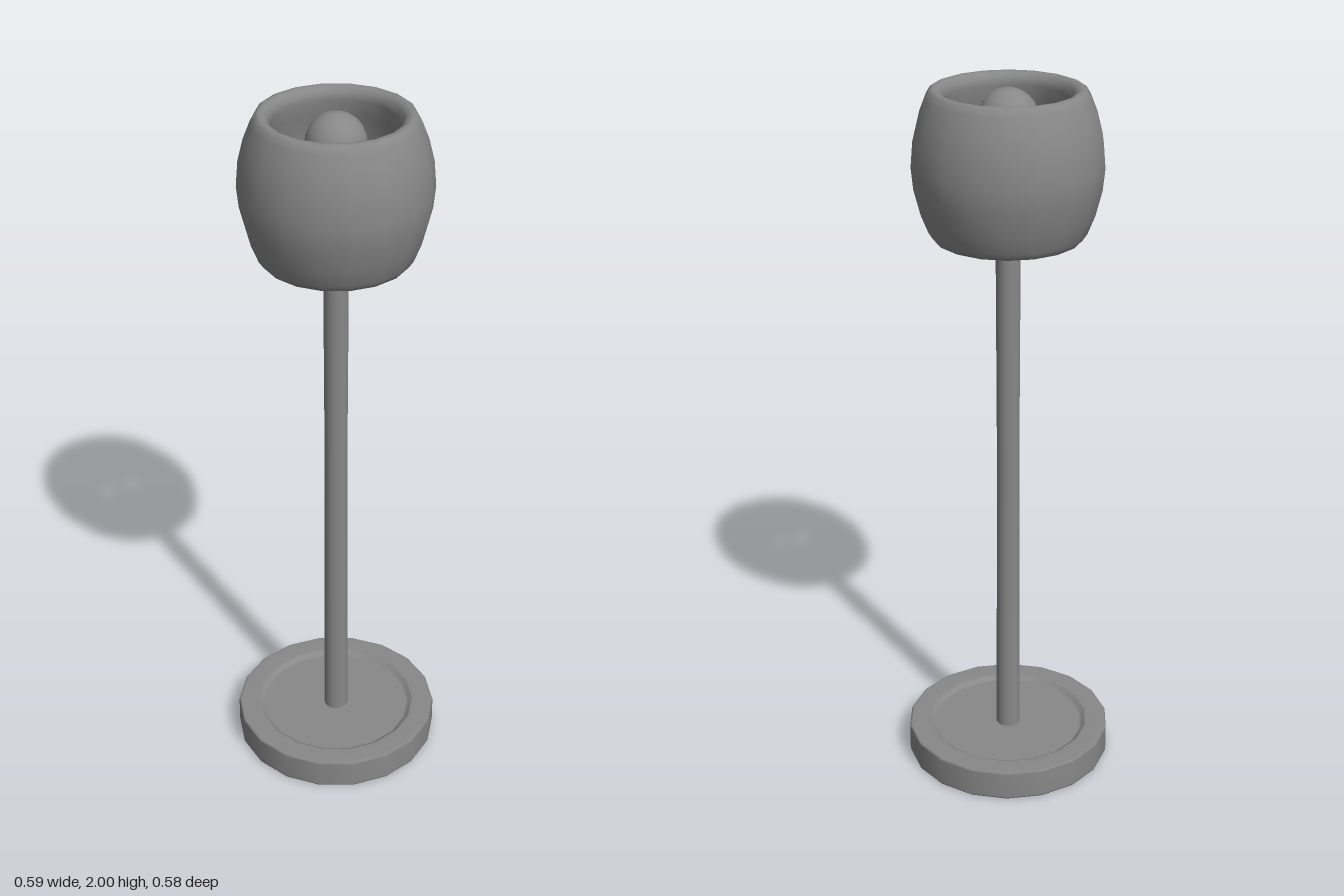
import * as THREE from 'three';

const SIDES = 18;

// Revolves a profile of [radius, height] pairs; a repeated point makes a sharp edge.
function turned(name, profile, material) {
  const points = profile.map(([r, y]) => new THREE.Vector2(r, y));
  const geometry = new THREE.LatheGeometry(points, SIDES, Math.PI / 2);
  const mesh = new THREE.Mesh(geometry, material);
  mesh.name = name;
  return mesh;
}

export function createModel() {
  const lamp = new THREE.Group();
  lamp.name = 'lamp';
  const grey = new THREE.MeshStandardMaterial({ color: 0x888888 });

  // Round foot with softened edges and a shallow, smoothly dished top
  lamp.add(turned('base', [
    [0, 0], [0.29, 0], [0.29, 0],
    [0.294, 0.002], [0.296, 0.007], [0.296, 0.083], [0.294, 0.088], [0.29, 0.09],
    [0.236, 0.09], [0.23, 0.088], [0.222, 0.079], [0.215, 0.077], [0, 0.077],
  ], grey));

  // Slender stem, very slightly narrower at the middle, reaching up to the bulb
  lamp.add(turned('stem', [
    [0.035, 0.07], [0.032, 1.0], [0.034, 1.6], [0.034, 1.87],
  ], grey));

  // Round bulb inside the shade
  const bulb = new THREE.Mesh(new THREE.SphereGeometry(0.08, SIDES, 12), grey);
  bulb.name = 'bulb';
  bulb.position.y = 1.92;
  lamp.add(bulb);

  // Barrel-shaped shade: rounded rims, gently curved lining, open at top and bottom
  lamp.add(turned('shade', [
    [0.19, 1.6], [0.2, 1.602], [0.212, 1.62], [0.232, 1.67], [0.25, 1.74], [0.256, 1.8],
    [0.25, 1.87], [0.235, 1.93], [0.216, 1.978], [0.205, 1.996], [0.195, 2.0],
    [0.182, 1.996], [0.172, 1.984], [0.168, 1.965],
    [0.178, 1.92], [0.194, 1.86], [0.2, 1.8], [0.196, 1.74], [0.186, 1.68],
    [0.172, 1.63], [0.174, 1.61], [0.19, 1.6],
  ], grey));

  return lamp;
}
